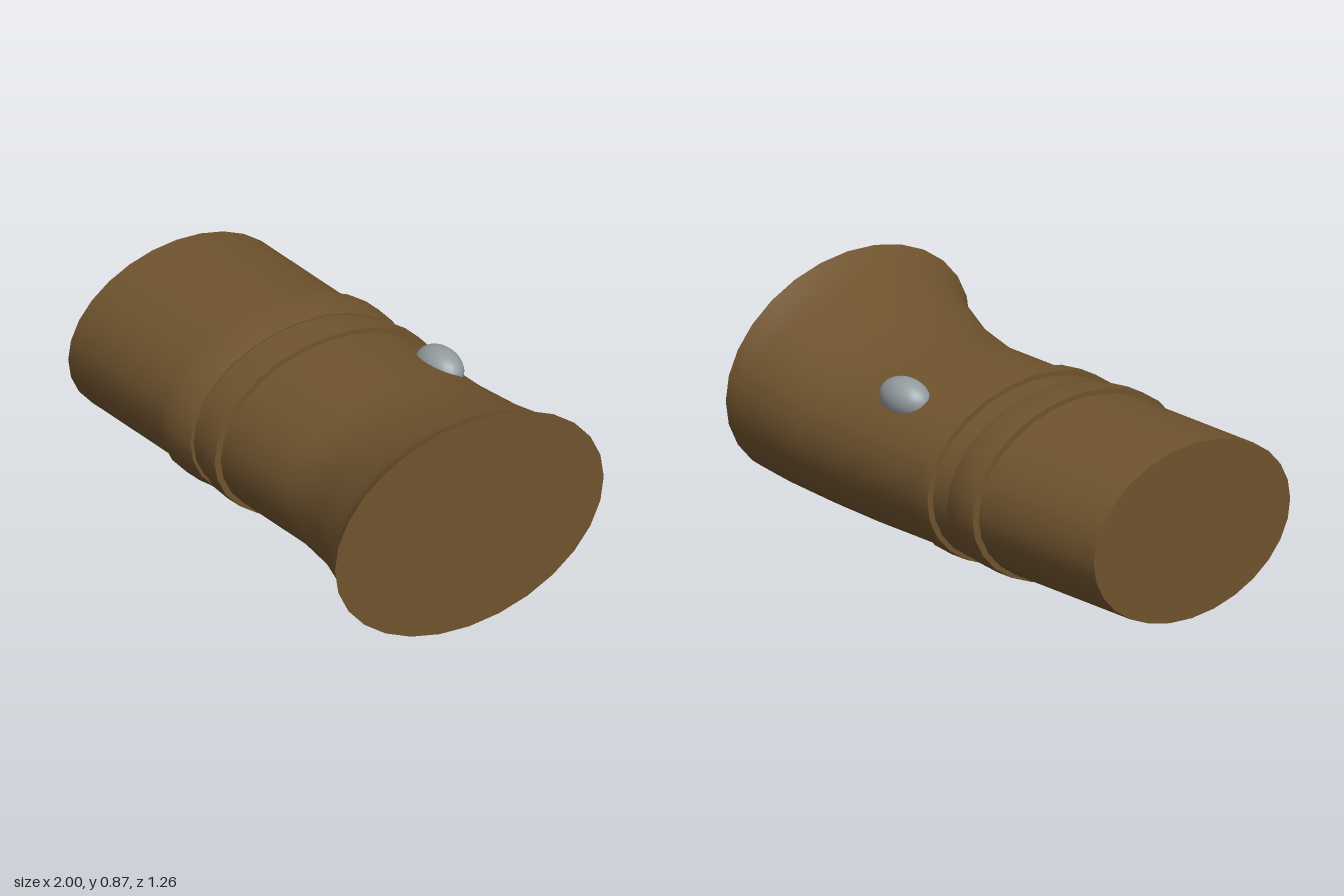
import * as THREE from 'three';

const SIDES = 28;

// Elliptical tube lofted along x; each section is [x, bottom, top, back, front].
function loft(sections) {
  const pos = [], index = [];
  const addRing = ([x, y0, y1, z0, z1]) => {
    const start = pos.length / 3;
    for (let j = 0; j < SIDES; j++) {
      const a = (j / SIDES) * Math.PI * 2;
      pos.push(x, (y0 + y1) / 2 + ((y1 - y0) / 2) * Math.sin(a), (z0 + z1) / 2 + ((z1 - z0) / 2) * Math.cos(a));
    }
    return start;
  };
  // smooth side wall
  const rings = sections.map(addRing);
  for (let i = 0; i < rings.length - 1; i++) {
    for (let j = 0; j < SIDES; j++) {
      const k = (j + 1) % SIDES, a = rings[i], b = rings[i + 1];
      index.push(a + j, b + j, a + k, a + k, b + j, b + k);
    }
  }
  // flat end caps with their own vertices
  const addCap = (section, right) => {
    const r = addRing(section);
    for (let j = 1; j < SIDES - 1; j++) {
      if (right) index.push(r, r + j + 1, r + j);
      else index.push(r, r + j, r + j + 1);
    }
  };
  addCap(sections[0], false);
  addCap(sections[sections.length - 1], true);
  const geometry = new THREE.BufferGeometry();
  geometry.setAttribute('position', new THREE.Float32BufferAttribute(pos, 3));
  geometry.setIndex(index);
  geometry.computeVertexNormals();
  return geometry;
}

export function createModel() {
  const model = new THREE.Group();
  model.name = 'flaredTube';
  const brown = new THREE.MeshStandardMaterial({ name: 'brown', color: 0x6f532e });
  const grey = new THREE.MeshStandardMaterial({ name: 'grey', color: 0x929b9f });

  const add = (name, geometry, material) => {
    const mesh = new THREE.Mesh(geometry, material);
    mesh.name = name;
    model.add(mesh);
    return mesh;
  };

  // Main tube, flaring upward and forward at the +x end
  add('body', loft([
    [-1, 0.01, 0.7, -0.6, 0.39],
    [0.37, 0.01, 0.7, -0.6, 0.39],
    [0.62, 0.008, 0.735, -0.6, 0.44],
    [0.88, 0.003, 0.805, -0.6, 0.545],
    [0.95, 0.001, 0.838, -0.6, 0.59],
    [1, 0, 0.865, -0.6, 0.63],
  ]), brown);

  // Raised wide band with a slight taper on its +x side
  add('wideBand', loft([
    [-0.375, 0, 0.72, -0.632, 0.422],
    [-0.295, 0, 0.72, -0.632, 0.422],
    [-0.215, 0.005, 0.706, -0.612, 0.404],
  ]), brown);

  // Raised narrow band
  add('narrowBand', loft([
    [-0.125, 0, 0.719, -0.628, 0.418],
    [-0.045, 0, 0.719, -0.628, 0.418],
  ]), brown);

  // Oval stud on the upper back
  const stud = add('stud', new THREE.SphereGeometry(1, 24, 16), grey);
  stud.scale.set(0.115, 0.078, 0.078);
  stud.position.set(0.23, 0.615, -0.41);

  return model;
}
